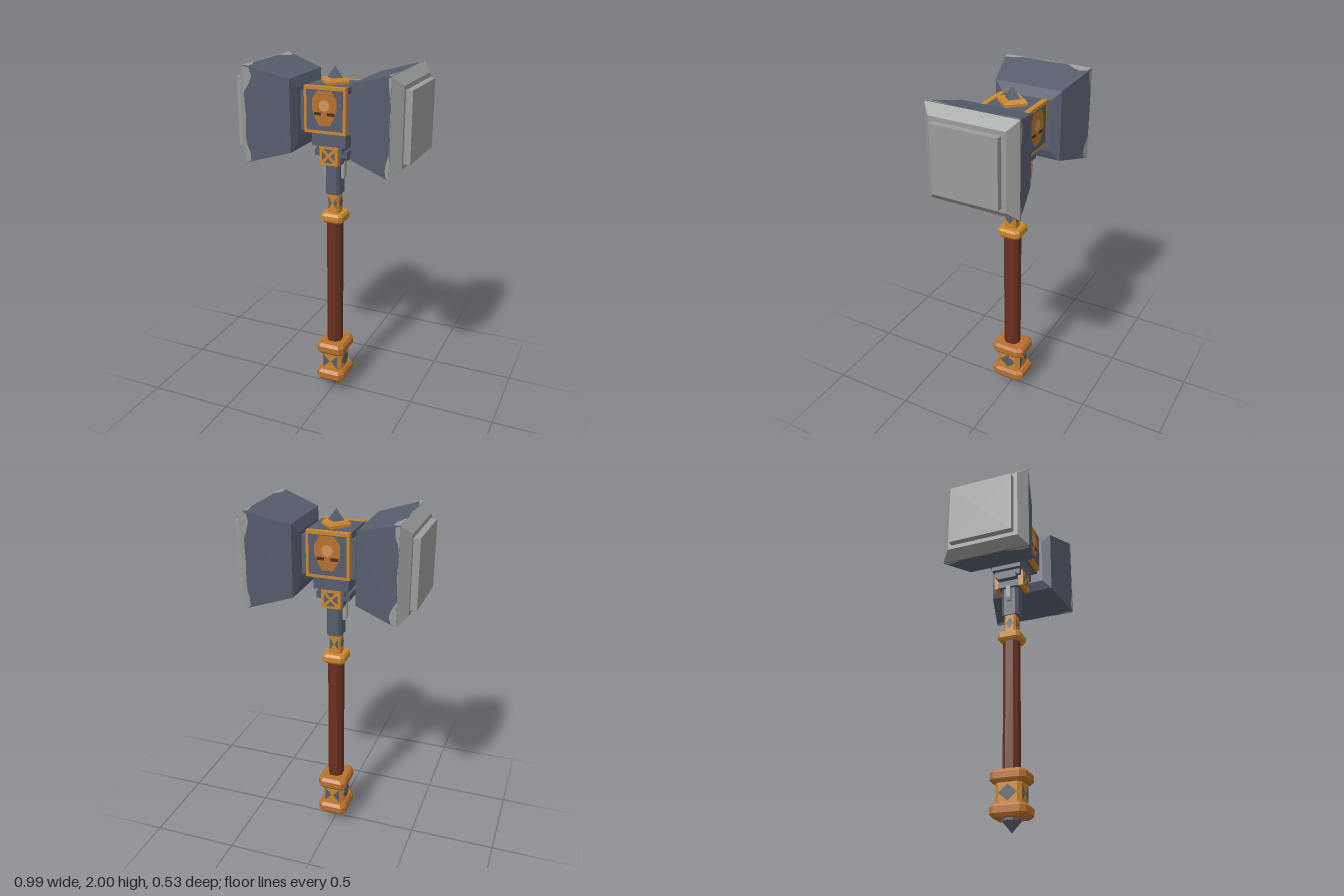
import * as THREE from 'three';

const mat = (name, color, side = THREE.FrontSide) => {
  const m = new THREE.MeshStandardMaterial({ color, side });
  m.name = name;
  return m;
};

// Cross-section outlines, in half-width units
const SQUARE = [[1, -1], [1, 1], [-1, 1], [-1, -1]];
const DIAMOND = [[1, 0], [0, 1], [-1, 0], [0, -1]];
const chamfered = (k) => [[1, -k], [1, k], [k, 1], [-k, 1], [-1, k], [-1, -k], [-k, -1], [k, -1]];

// Faceted solid through sections [y, halfX, halfZ]
function loft(outline, sections) {
  const rings = sections.map(([y, hx, hz]) => outline.map(([x, z]) => [x * hx, y, z * hz]));
  const n = outline.length, last = rings.length - 1, pos = [];
  const tri = (...pts) => pts.forEach((p) => pos.push(...p));
  for (let i = 0; i < n; i++) {
    const j = (i + 1) % n;
    for (let r = 0; r < last; r++) {
      const a = rings[r], b = rings[r + 1];
      tri(a[i], b[i], a[j]);
      tri(a[j], b[i], b[j]);
    }
    tri([0, sections[0][0], 0], rings[0][i], rings[0][j]);
    tri([0, sections[last][0], 0], rings[last][j], rings[last][i]);
  }
  const g = new THREE.BufferGeometry();
  g.setAttribute('position', new THREE.Float32BufferAttribute(pos, 3));
  g.computeVertexNormals();
  return g;
}

const flat = (pts) => new THREE.ShapeGeometry(new THREE.Shape(pts.map(([x, y]) => new THREE.Vector2(x, y))));

export function createModel() {
  const slate = mat('slate steel', 0x565d6d);
  const grey = mat('worn grey steel', 0x9a9c99);
  const gold = mat('gold trim', 0xcb862c);
  const copper = mat('copper', 0xb9702f);
  const pale = mat('pale copper', 0xcf965c);
  const wood = mat('brown grip', 0x6a301f);
  const dark = mat('dark engraving', 0x4a2c20);

  const model = new THREE.Group();
  model.name = 'warHammer';
  const add = (name, geo, material, parent = model) => {
    const m = new THREE.Mesh(geo, material);
    m.name = name;
    parent.add(m);
    return m;
  };
  const box = (name, material, w, h, d, x, y, z, parent) =>
    add(name, new THREE.BoxGeometry(w, h, d), material, parent).position.set(x, y, z);
  const group = (name, parent = model) => {
    const g = new THREE.Group();
    g.name = name;
    parent.add(g);
    return g;
  };

  // Two striking heads, lofted outwards from the centre
  const wear = [
    [[-0.26, 0], [-0.25, -0.025], [-0.2, -0.022], [-0.17, -0.008], [-0.12, 0]],
    [[0.26, 0], [0.12, 0], [0.17, -0.03], [0.21, -0.045], [0.25, -0.03]],
    [[-0.12, 0], [0, -0.006], [0.12, 0]].reverse(),
  ];
  const tilt = new THREE.Matrix4().makeBasis(
    new THREE.Vector3(0, 0, -1),
    new THREE.Vector3(0.259, 0.966, 0),
    new THREE.Vector3(0.966, -0.259, 0),
  ).setPosition(0.265, 0.41, 0);
  for (const s of [-1, 1]) {
    const head = group(s > 0 ? 'leftHead' : 'rightHead');
    head.position.y = 1.738;
    head.rotation.z = -s * Math.PI / 2;
    add('headBody', loft(SQUARE, [[0.155, 0.145, 0.145], [0.175, 0.198, 0.198], [0.41, 0.262, 0.262]]), slate, head);
    add('headBevel', loft(SQUARE, [[0.41, 0.262, 0.262], [0.46, 0.212, 0.212]]), grey, head);
    add('strikingPlate', loft(SQUARE, [[0.46, 0.188, 0.188], [0.496, 0.188, 0.188]]), grey, head);
    for (let k = 0; k < 4; k++) {
      const side = group('edgeWear', head);
      side.rotation.y = k * Math.PI / 2;
      for (const pts of wear) {
        const scaled = pts.map(([x, y]) => [x, s > 0 ? y * 0.6 : y]);
        add('wearPatch', flat(scaled).applyMatrix4(tilt), grey, side);
      }
    }
  }

  // Central block joining the heads
  box('crossBar', slate, 0.34, 0.21, 0.22, 0, 1.755, 0);
  box('centreBlock', slate, 0.24, 0.245, 0.222, 0, 1.773, 0);

  // Framed emblem and crossed plate, front and back
  const emblem = [[-0.03, -0.09], [0.03, -0.09], [0.055, -0.05], [0.072, 0.0], [0.07, 0.05], [0.04, 0.095],
    [-0.04, 0.095], [-0.07, 0.05], [-0.072, 0.0], [-0.055, -0.05]];
  for (const s of [1, -1]) {
    const face = group(s > 0 ? 'frontOrnament' : 'backOrnament');
    face.rotation.y = s > 0 ? 0 : Math.PI;
    box('frame', gold, 0.24, 0.25, 0.03, 0, 1.773, 0.125, face);
    box('framePanel', slate, 0.208, 0.215, 0.004, 0, 1.773, 0.1405, face);
    add('emblem', flat(emblem), copper, face).position.set(0, 1.782, 0.1445);
    add('emblemCentre', new THREE.CircleGeometry(0.032, 8), pale, face).position.set(0, 1.8, 0.1465);
    for (const x of [-0.038, 0.038]) box('emblemMark', dark, 0.04, 0.016, 0.003, x, 1.755, 0.146, face);

    box('crossPlate', gold, 0.11, 0.105, 0.03, 0, 1.513, 0.077, face);
    for (let k = 0; k < 4; k++) {
      const inlay = add('plateInlay', flat([[0, 0.01], [0.026, 0.038], [-0.026, 0.038]]), slate, face);
      inlay.position.set(0, 1.513, 0.094);
      inlay.rotation.z = k * Math.PI / 2;
    }
  }

  // Diamond finial on top
  add('finialBase', loft(DIAMOND, [[1.89, 0.082, 0.09], [1.91, 0.082, 0.09], [1.925, 0.068, 0.075]]), gold);
  add('finialSpike', loft(DIAMOND, [[1.92, 0.05, 0.05], [1.985, 0.001, 0.001]]), slate);

  // Stepped socket beneath the block
  box('socketTop', slate, 0.2, 0.09, 0.18, 0, 1.61, 0);
  box('socketStep', slate, 0.15, 0.04, 0.16, 0, 1.55, 0);
  box('socketLip', slate, 0.19, 0.036, 0.12, 0, 1.52, 0);
  box('socketBase', slate, 0.12, 0.05, 0.13, 0, 1.485, 0);
  add('neck', loft(chamfered(0.65), [[1.28, 0.042, 0.054], [1.48, 0.042, 0.054]]), slate);
  for (const s of [-1, 1]) {
    const fin = add('neckFin', loft(SQUARE, [[1.37, 0.008, 0.014], [1.39, 0.014, 0.014], [1.47, 0.014, 0.014]]), grey);
    fin.position.x = s * 0.049;
  }

  // Slate triangles and diamonds inlaid around a gold section
  const inlays = (name, y, hx, hz, h) => {
    const set = group(name);
    set.position.y = y;
    for (let k = 0; k < 4; k++) {
      const side = group('inlaySide', set);
      side.rotation.y = k * Math.PI / 2;
      const out = (k % 2 ? hx : hz) + 0.002, w = (k % 2 ? hz : hx) * 0.7;
      const shapes = k % 2
        ? [[[-w, 0], [0, -h], [w, 0], [0, h]]]
        : [[[-w, -h], [-w * 0.1, 0], [-w, h]], [[w, h], [w * 0.1, 0], [w, -h]]];
      for (const pts of shapes) add('inlay', flat(pts), slate, side).position.z = out;
    }
  };

  // Shaft with collars
  add('upperFerrule', loft(chamfered(0.7), [[1.15, 0.035, 0.036], [1.285, 0.035, 0.036]]), gold);
  inlays('ferruleInlays', 1.225, 0.035, 0.036, 0.035);
  const collar = (name, y0, y1, hx, hz, material) => {
    const b = (y1 - y0) * 0.25;
    add(name, loft(chamfered(0.72), [[y0, hx * 0.86, hz * 0.86], [y0 + b, hx, hz],
      [y1 - b, hx, hz], [y1, hx * 0.86, hz * 0.86]]), material);
  };
  collar('upperCollar', 1.11, 1.165, 0.067, 0.07, gold);
  add('grip', loft(chamfered(0.5), [[0.3, 0.042, 0.046], [1.13, 0.042, 0.046]]), wood);

  // Pommel
  collar('pommelUpperRing', 0.26, 0.33, 0.088, 0.105, copper);
  add('pommelCore', loft(chamfered(0.7), [[0.13, 0.065, 0.076], [0.28, 0.065, 0.076]]), gold);
  inlays('pommelInlays', 0.203, 0.065, 0.076, 0.046);
  collar('pommelLowerRing', 0.075, 0.147, 0.088, 0.105, copper);
  add('pommelSpike', loft(chamfered(0.5), [[0, 0.001, 0.001], [0.06, 0.045, 0.046], [0.08, 0.045, 0.046]]), slate);

  return model;
}
